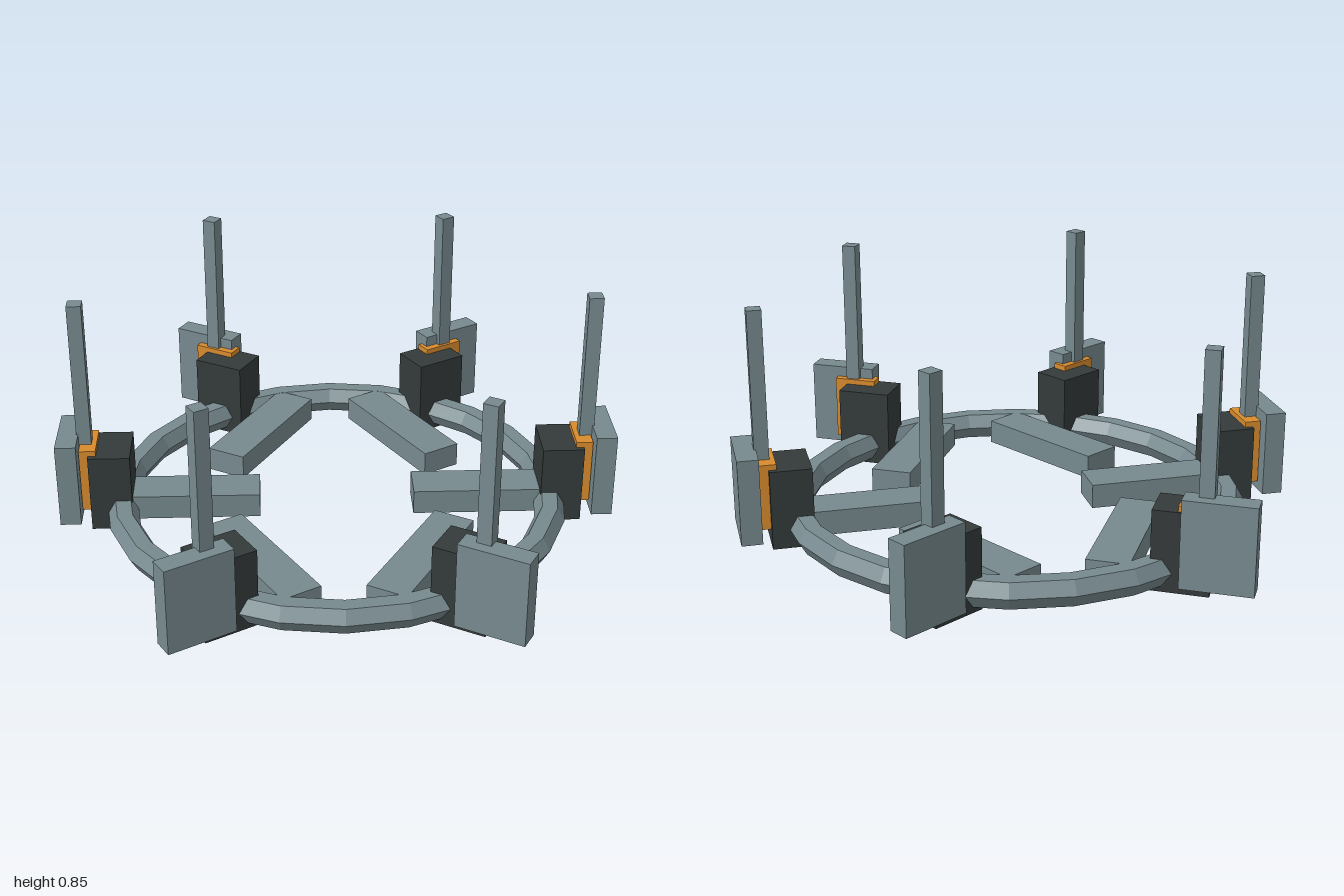
import * as THREE from 'three';

export function createModel() {
  const model = new THREE.Group();
  model.name = 'ringStand';

  const material = (name, color) => {
    const m = new THREE.MeshStandardMaterial({ color, flatShading: true });
    m.name = name;
    return m;
  };
  const steel = material('steelGrey', 0x778a8f);
  const dark = material('darkGrey', 0x343a3a);
  const orange = material('orange', 0xd98c2e);

  // Hexagonal-section ring lying flat
  const ringGeometry = new THREE.TorusGeometry(0.785, 0.055, 6, 24);
  ringGeometry.rotateX(Math.PI / 2);
  const ring = new THREE.Mesh(ringGeometry, steel);
  ring.name = 'ring';
  ring.position.y = 0.068;
  model.add(ring);

  // Station parts: radial span, vertical span, width across
  const parts = [
    ['spoke', steel, 0.28, 0.82, 0.025, 0.115, 0.15],
    ['block', dark, 0.74, 0.89, 0, 0.29, 0.2],
    ['pad', orange, 0.862, 0.922, 0.07, 0.31, 0.16],
    ['plate', steel, 0.925, 1, 0.035, 0.35, 0.25],
    ['post', steel, 0.88, 0.932, 0.25, 0.85, 0.052],
  ].map(([name, mat, r0, r1, y0, y1, width]) => ({
    name, mat,
    radius: (r0 + r1) / 2,
    y: (y0 + y1) / 2,
    geometry: new THREE.BoxGeometry(r1 - r0, y1 - y0, width),
  }));

  // Six stations; each part turns the opposite way to its place on the circle
  for (let i = 0; i < 6; i++) {
    const angle = (i * Math.PI) / 3;
    const station = new THREE.Group();
    station.name = `station${i + 1}`;
    for (const p of parts) {
      const mesh = new THREE.Mesh(p.geometry, p.mat);
      mesh.name = p.name;
      mesh.position.set(p.radius * Math.cos(angle), p.y, p.radius * Math.sin(angle));
      mesh.rotation.y = angle;
      station.add(mesh);
    }
    model.add(station);
  }
  return model;
}
